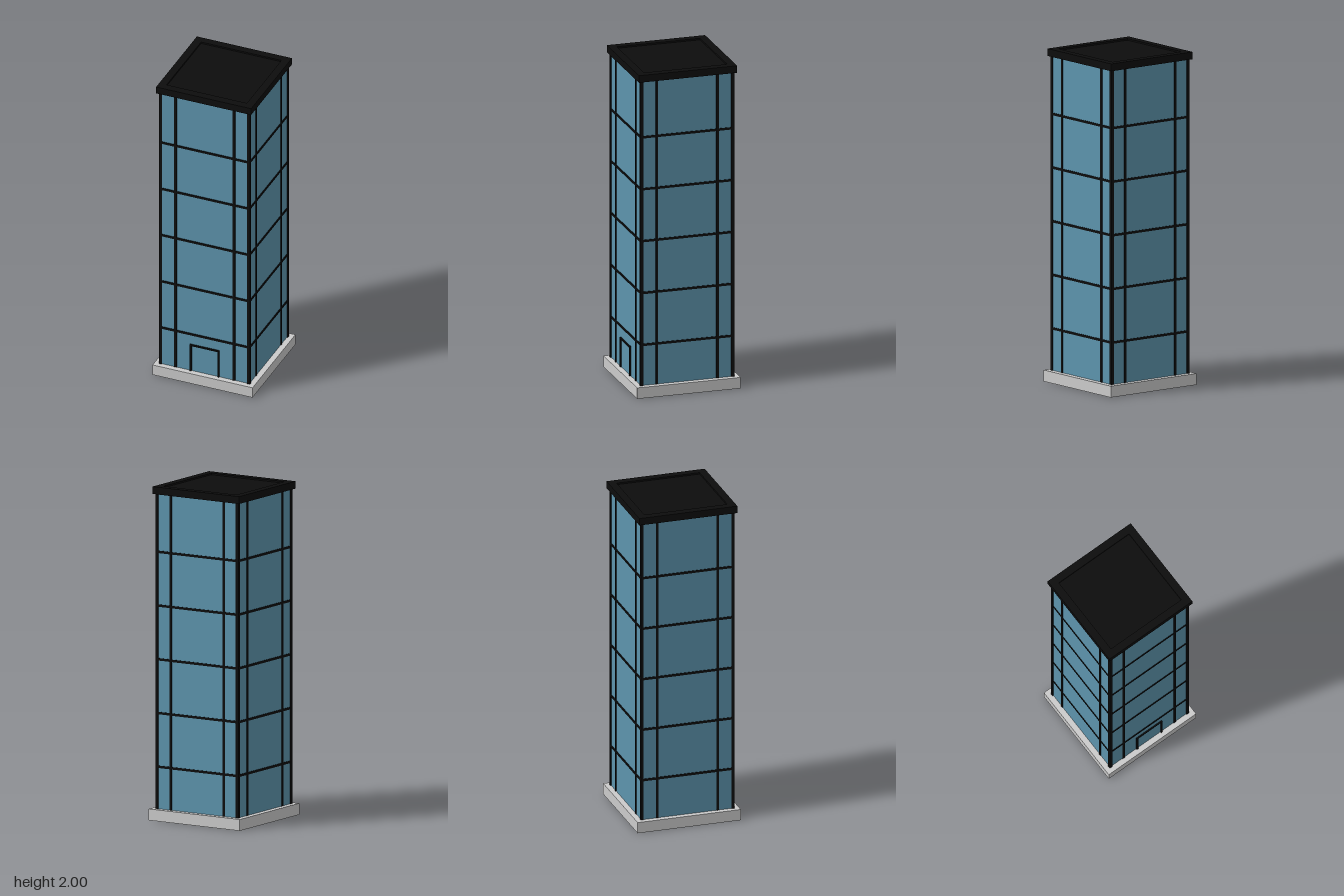
import * as THREE from 'three';

export function createModel() {
  const tower = new THREE.Group();
  tower.name = 'officeTower';

  const material = (name, color) => {
    const m = new THREE.MeshStandardMaterial({ color });
    m.name = name;
    return m;
  };
  const glass = material('blueGlass', 0x5d94ad);
  const frame = material('blackFrame', 0x0d0d0d);
  const concrete = material('lightConcrete', 0xcbcbcb);

  // Box given by its size, centre x and z, and bottom y
  const box = (name, mat, w, h, d, x, y, z, parent = tower) => {
    const mesh = new THREE.Mesh(new THREE.BoxGeometry(w, h, d), mat);
    mesh.name = name;
    mesh.position.set(x, y + h / 2, z);
    parent.add(mesh);
    return mesh;
  };

  const baseTop = 0.068;
  const capBottom = 1.956;
  const height = capBottom - baseTop;
  const wall = 0.286; // half width of the glass shaft

  box('basePlinth', concrete, 0.642, baseTop, 0.642, 0, 0, 0);
  box('glassShaft', glass, wall * 2, height, wall * 2, 0, baseTop, 0);

  // Corner posts
  for (const x of [-1, 1]) {
    for (const z of [-1, 1]) {
      box('cornerPost', frame, 0.018, height, 0.018, x * 0.283, baseTop, z * 0.283);
    }
  }

  // Each facade carries two mullions and five floor bands
  for (let side = 0; side < 4; side++) {
    const facade = new THREE.Group();
    facade.name = 'facadeGrid';
    facade.rotation.y = side * Math.PI / 2;
    for (const s of [-1, 1]) {
      box('mullion', frame, 0.015, height, 0.008, s * 0.188, baseTop, wall, facade);
    }
    for (let floor = 1; floor <= 5; floor++) {
      box('floorBand', frame, 0.574, 0.014, 0.008, 0, floor * 0.3222 - 0.009, wall, facade);
    }
    tower.add(facade);
  }

  // Entrance surround on the front
  const door = new THREE.Group();
  door.name = 'entranceFrame';
  for (const s of [-1, 1]) {
    box('doorJamb', frame, 0.01, 0.252 - baseTop, 0.012, s * 0.089, baseTop, wall + 0.002, door);
  }
  box('doorLintel', frame, 0.188, 0.01, 0.012, 0, 0.242, wall + 0.002, door);
  tower.add(door);

  // Roof slab with a raised rim
  const rimOuter = 0.305;
  const rimInner = 0.258;
  box('roofSlab', frame, rimOuter * 2, 0.034, rimOuter * 2, 0, capBottom, 0);
  const square = (Type, r) => new Type([[-r, -r], [r, -r], [r, r], [-r, r]]
    .map(([x, y]) => new THREE.Vector2(x, y)));
  const rimShape = square(THREE.Shape, rimOuter);
  rimShape.holes.push(square(THREE.Path, rimInner));
  const rim = new THREE.Mesh(
    new THREE.ExtrudeGeometry(rimShape, { depth: 0.01, bevelEnabled: false }), frame);
  rim.name = 'roofRim';
  rim.rotation.x = -Math.PI / 2;
  rim.position.y = 1.99;
  tower.add(rim);

  return tower;
}
